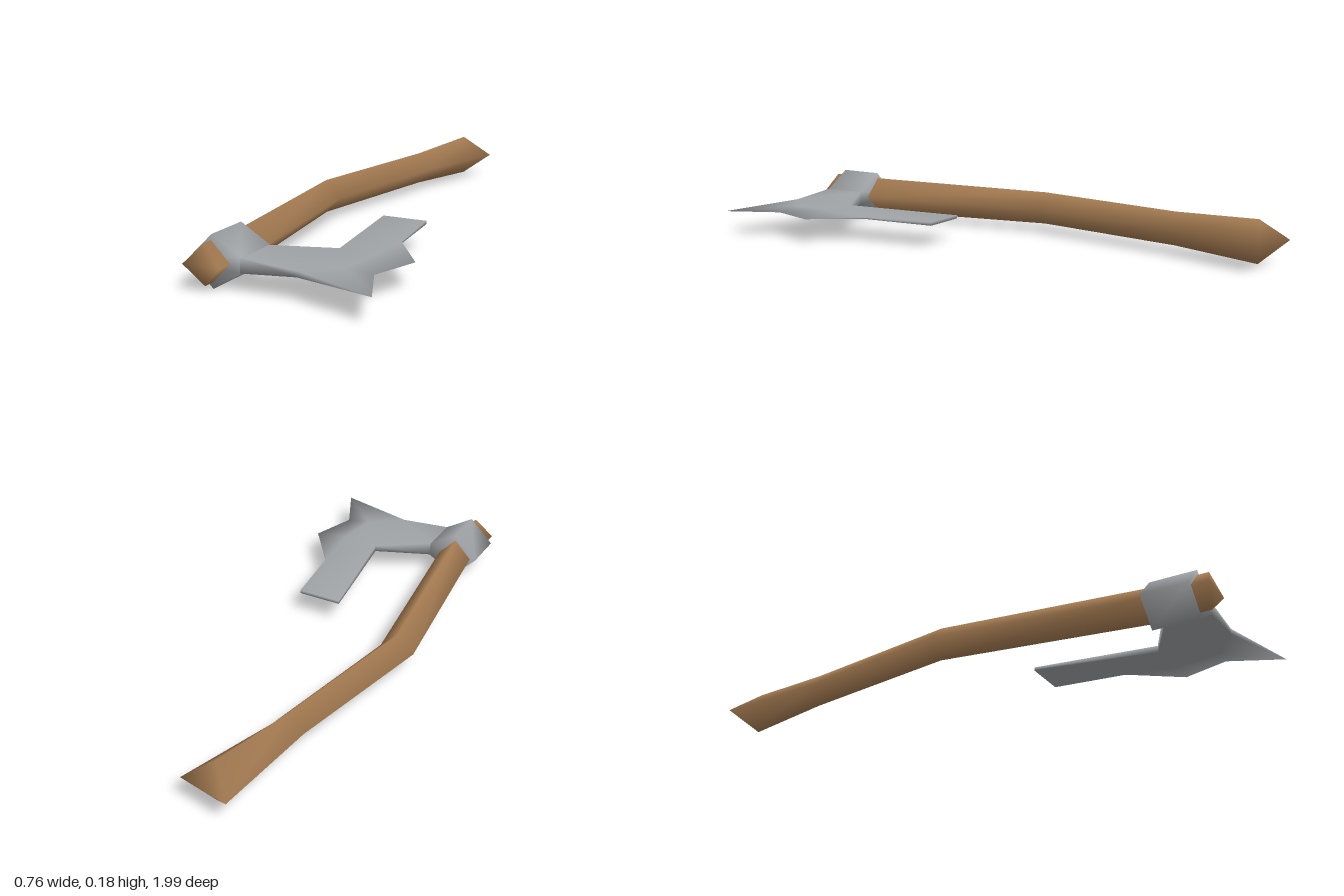
import * as THREE from 'three';

const wood = new THREE.MeshStandardMaterial({ name: 'wood', color: 0xa67c52 });
const steel = new THREE.MeshStandardMaterial({ name: 'steel', color: 0xa0a3a6 });
const MID = 0.09; // height of the symmetry plane

function smoothMesh(name, points, index, material) {
  const g = new THREE.BufferGeometry();
  g.setAttribute('position', new THREE.Float32BufferAttribute(points.flat(), 3));
  g.setIndex(index);
  g.computeVertexNormals();
  const m = new THREE.Mesh(g, material);
  m.name = name;
  return m;
}

// Skins closed rings (clockwise seen from +z, ordered front to back) and caps both ends
function loft(name, rings, material) {
  const n = rings[0].length, index = [];
  for (let k = 0; k < rings.length - 1; k++) {
    for (let i = 0; i < n; i++) {
      const a = k * n + i, b = k * n + (i + 1) % n;
      index.push(a, b, a + n, b, b + n, a + n);
    }
  }
  const last = (rings.length - 1) * n;
  for (let i = 1; i < n - 1; i++) index.push(0, i + 1, i, last, last + i, last + i + 1);
  return smoothMesh(name, rings.flat(), index, material);
}

// Diamond section: left and right corners with their own z, ridge corners at zMid
const diamond = (xl, xr, half, zl, zMid = zl, zr = zl, xm = (xl + xr) / 2) => [
  [xl, MID, zl], [xm, MID + half, zMid], [xr, MID, zr], [xm, MID - half, zMid],
];

function makeBlade() {
  // x, z, half thickness; the first ten run round the outline, the last two lie on the ridge
  const plan = [
    [-0.12, 0.735, 0.025], [0.08, 0.63, 0.012], [0.01, 0.185, 0.006], [0.175, 0.185, 0.006],
    [0.21, 0.45, 0.003], [0.345, 0.63, 0], [0.29, 0.80, 0], [0.38, 0.99, 0],
    [0.08, 0.895, 0.01], [-0.12, 0.895, 0.025], [0.22, 0.64, 0.013], [0.2, 0.8, 0.011],
  ];
  const faces = [
    [0, 1, 8], [0, 8, 9], [1, 2, 3], [1, 3, 4], [1, 4, 10], [4, 5, 10],
    [5, 6, 10], [6, 11, 10], [6, 7, 11], [7, 8, 11], [1, 10, 11], [1, 11, 8],
  ];
  const points = [], top = [], bottom = [], index = [];
  for (const [x, z, h] of plan) {
    top.push(points.push([x, MID + h, z]) - 1);
    bottom.push(h ? points.push([x, MID - h, z]) - 1 : top.at(-1));
  }
  // Upper and lower cheeks
  for (let [a, b, c] of faces) {
    const [p, q, r] = [plan[a], plan[b], plan[c]];
    const up = (q[1] - p[1]) * (r[0] - p[0]) - (q[0] - p[0]) * (r[1] - p[1]);
    if (up < 0) [b, c] = [c, b];
    index.push(top[a], top[b], top[c], bottom[a], bottom[c], bottom[b]);
  }
  // Narrow rim, vanishing where the edge is sharp
  for (let a = 0; a < 9; a++) {
    const b = a + 1;
    if (top[a] !== bottom[a]) index.push(top[a], top[b], bottom[a]);
    if (top[b] !== bottom[b]) index.push(top[b], bottom[b], bottom[a]);
  }
  return smoothMesh('blade', points, index, steel);
}

export function createModel() {
  const group = new THREE.Group();
  group.name = 'axe';

  // Bent handle with a flared grip end
  group.add(loft('handle', [
    diamond(-0.29, -0.155, 0.068, 0.955, 0.935),
    diamond(-0.287, -0.157, 0.067, 0.73),
    diamond(-0.385, -0.258, 0.061, 0),
    diamond(-0.277, -0.16, 0.061, -0.59),
    diamond(-0.245, -0.055, 0.077, -1, -0.92, -0.96, -0.16),
  ], wood));

  // Collar that grips the handle
  const collarRing = (z) => [
    [-0.31, MID, z], [-0.22, 0.178, z], [-0.115, 0.115, z], [-0.115, 0.065, z], [-0.22, 0.002, z],
  ];
  group.add(loft('collar', [collarRing(0.895), collarRing(0.73)], steel));

  group.add(makeBlade());
  return group;
}
